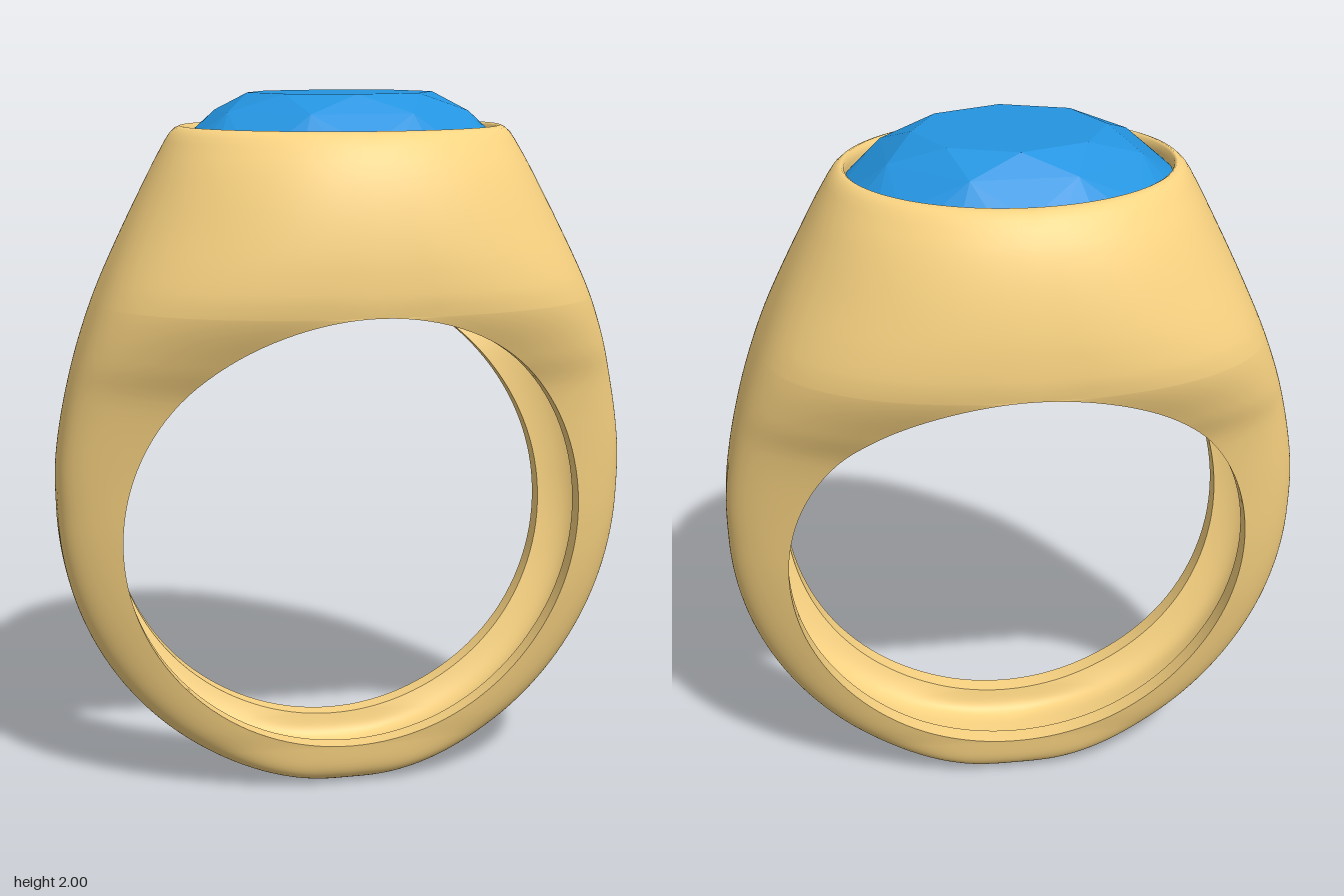
import * as THREE from 'three';
import { mergeVertices } from 'three/addons/utils/BufferGeometryUtils.js';
import { ConvexGeometry } from 'three/addons/geometries/ConvexGeometry.js';

const HOLE_Y = 0.785, HOLE_R = 0.655;          // finger hole
const HOLE_BOTTOM = HOLE_Y - HOLE_R, HOLE_TOP = HOLE_Y + HOLE_R;
const LIP = 0.055, DEPTH = 0.055;              // lip width and wall thickness of the hollow

// Smooth curve through [position, value] pairs
function curve(table) {
  const slope = (i) => {
    const a = table[Math.max(i - 1, 0)], b = table[Math.min(i + 1, table.length - 1)];
    return (b[1] - a[1]) / (b[0] - a[0]);
  };
  return (y) => {
    let i = 0;
    while (i < table.length - 2 && y > table[i + 1][0]) i++;
    const [y0, v0] = table[i], [y1, v1] = table[i + 1], h = y1 - y0;
    const t = Math.min(Math.max((y - y0) / h, 0), 1), t2 = t * t, t3 = t2 * t;
    return v0 * (2 * t3 - 3 * t2 + 1) + slope(i) * h * (t3 - 2 * t2 + t)
      + v1 * (3 * t2 - 2 * t3) + slope(i + 1) * h * (t3 - t2);
  };
}

// By height: half width, half depth at the middle, squareness and taper of a slice
const upperX = curve([[0.7, 0.807], [0.85, 0.82], [1, 0.815], [1.2, 0.775], [1.4, 0.71], [1.6, 0.625], [1.8, 0.528], [1.87, 0.491]]);
const middleZ = curve([[0, 0.147], [0.13, 0.165], [0.2, 0.181], [0.4, 0.223], [0.6, 0.27], [0.8, 0.312], [1, 0.349], [1.2, 0.402],
  [1.3, 0.455], [1.44, 0.52], [1.55, 0.524], [1.65, 0.511], [1.75, 0.486], [1.83, 0.455], [1.87, 0.43]]);
const squareness = curve([[0, 4], [1.2, 4], [1.3, 3.95], [1.44, 3.5], [1.65, 2.6], [1.87, 2]]);
const taper = curve([[0, 0.5], [1.3, 0.5], [1.44, 0.5], [1.65, 0.4], [1.87, 0]]);

function halfX(y, d) {
  if (y >= 0.85) return upperX(y) - d;
  return (0.82 - d) * Math.sqrt(Math.max(0, 1 - ((0.85 - y) / (0.85 - d)) ** 2));
}

const holeX = (y) => Math.sqrt(Math.max(0, HOLE_R ** 2 - (y - HOLE_Y) ** 2));

// Depth at the hole edge as a share of the depth at the middle
function edgeShare(y, d) {
  const x = holeX(y), m = squareness(y);
  return (1 - taper(y) * x * x) * (1 - (x / halfX(y, d) || 0) ** m) ** (1 / m);
}

const edgeZ = (y) => middleZ(y) * edgeShare(y, 0);

// Middle depth of a skin set in by d, with its hole edge set in by t and its bottom rounded off
function halfZ(y, d, t) {
  const s = Math.max(0, 1 - (y - d) / (HOLE_BOTTOM - d));
  return (edgeZ(y) - t) / edgeShare(y, d) * Math.max(0, 1 - s ** 4) ** 0.25;
}

// Quarter slice at height y, from the side round to the hole edge
function slice(y, x, z, m, b, xEdge = 0, steps = 32) {
  const end = Math.acos((xEdge / x || 0) ** (m / 2));
  return Array.from({ length: steps + 1 }, (_, j) => {
    const a = end * (j / steps) ** 1.6;
    const px = x * Math.max(0, Math.cos(a)) ** (2 / m);
    return [px, y, z * (1 - b * px * px) * Math.sin(a) ** (2 / m)];
  });
}

// Skins a grid of points and mirrors it into all four quarters
function quarterSkin(rows, inward) {
  const pos = [], index = [], cols = rows[0].length;
  for (const sx of [1, -1]) for (const sz of [1, -1]) {
    const base = pos.length / 3, flip = (sx * sz < 0) !== inward;
    for (const row of rows) for (const [x, y, z] of row) pos.push(x * sx, y, z * sz);
    for (let i = 0; i < rows.length - 1; i++) for (let j = 0; j < cols - 1; j++) {
      const a = base + i * cols + j, b = a + cols, c = a + 1, d = b + 1;
      if (flip) index.push(a, c, b, c, d, b);
      else index.push(a, b, c, c, b, d);
    }
  }
  let geo = new THREE.BufferGeometry();
  geo.setAttribute('position', new THREE.Float32BufferAttribute(pos, 3));
  geo.setIndex(index);
  geo = mergeVertices(geo, 1e-5);
  geo.computeVertexNormals();
  return geo;
}

// Heights round the finger hole, evenly spaced by angle
const holeHeights = Array.from({ length: 65 }, (_, i) => HOLE_Y - HOLE_R * Math.cos(Math.PI * i / 64));

function shellRows(d, t, top) {
  const ys = [];
  for (let i = 0; i < 16; i++) ys.push(d + (HOLE_BOTTOM - d) * (i / 16) ** 2);
  ys.push(...holeHeights);
  for (let i = 1; i <= 14; i++) ys.push(HOLE_TOP + (top - HOLE_TOP) * i / 14);
  return ys.map((y) => slice(y, halfX(y, d), halfZ(y, d, t), squareness(y), taper(y), holeX(y)));
}

function gemGeometry() {
  const pts = [], A = 0.445, B = 0.362;
  const ring = (count, offset, r, y) => {
    for (let i = 0; i < count; i++) {
      const a = (i + offset) * 2 * Math.PI / count;
      pts.push(new THREE.Vector3(A * r * Math.cos(a), y, B * r * Math.sin(a)));
    }
  };
  ring(8, 0, 0.59, 2);         // table
  ring(8, 0.5, 0.82, 1.95);    // crown facets
  ring(32, 0, 1, 1.87);        // girdle
  ring(32, 0, 1, 1.85);
  ring(8, 0.5, 0.3, 1.585);    // pavilion facets
  pts.push(new THREE.Vector3(0, 1.45, 0));
  return new ConvexGeometry(pts);
}

export function createModel() {
  const group = new THREE.Group();
  const gold = new THREE.MeshStandardMaterial({ color: 0xfad482, side: THREE.DoubleSide });
  const blue = new THREE.MeshStandardMaterial({ color: 0x2494e0, flatShading: true });
  const add = (name, geo, mat) => {
    const mesh = new THREE.Mesh(geo, mat);
    mesh.name = name;
    group.add(mesh);
  };

  // Outer skin, rolling over the rim into the stone's seat
  const outer = shellRows(0, 0, 1.87);
  const rim = [[1.89, 0.478, 0.414], [1.904, 0.463, 0.396], [1.91, 0.45, 0.377], [1.904, 0.443, 0.363], [1.885, 0.44, 0.358], [1.84, 0.44, 0.358]];
  for (const [y, x, z] of rim) outer.push(slice(y, x, z, 2, 0));
  add('outerBand', quarterSkin(outer, false), gold);

  // Hollow inside of the band and head
  const inner = shellRows(DEPTH, LIP, 1.75);
  inner.push(slice(1.8, 0.465, 0.395, 2.2, 0.2), slice(1.84, 0.44, 0.358, 2, 0));
  add('innerHollow', quarterSkin(inner, true), gold);

  // Lips round both ends of the finger hole
  const lips = holeHeights.map((y) => [[holeX(y), y, edgeZ(y) - LIP], [holeX(y), y, edgeZ(y)]]);
  add('holeLips', quarterSkin(lips, true), gold);

  // Faceted oval stone
  add('gemstone', gemGeometry(), blue);
  return group;
}
